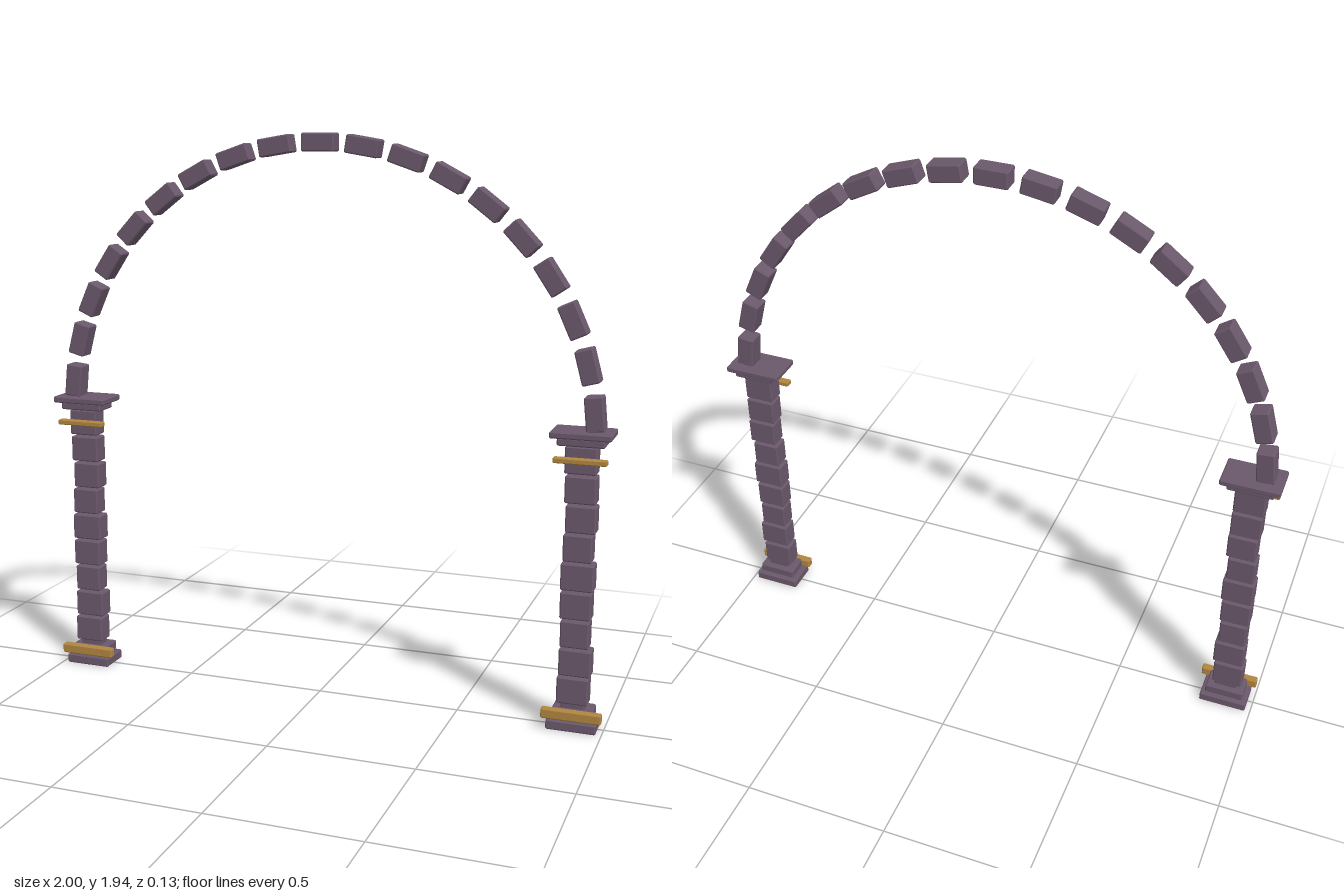
import * as THREE from 'three';
import { ConvexGeometry } from 'three/addons/geometries/ConvexGeometry.js';

const stone = new THREE.MeshStandardMaterial({ color: 0x6a586b });
stone.name = 'purple stone';
const brass = new THREE.MeshStandardMaterial({ color: 0xb0853f });
brass.name = 'brass';

// Box with small flat chamfers on every edge
function chamferBox(w, h, d, c = 0.004) {
  const points = [];
  for (const sx of [-1, 1]) for (const sy of [-1, 1]) for (const sz of [-1, 1]) {
    const [x, y, z] = [w / 2, h / 2, d / 2];
    points.push(
      new THREE.Vector3(sx * x, sy * (y - c), sz * (z - c)),
      new THREE.Vector3(sx * (x - c), sy * y, sz * (z - c)),
      new THREE.Vector3(sx * (x - c), sy * (y - c), sz * z));
  }
  return new ConvexGeometry(points);
}

function addBlock(parent, name, size, position, material = stone, chamfer = 0.004) {
  const mesh = new THREE.Mesh(chamferBox(...size, chamfer), material);
  mesh.name = name;
  mesh.position.set(...position);
  parent.add(mesh);
  return mesh;
}

function createPillar(name, x) {
  const pillar = new THREE.Group();
  pillar.name = name;
  pillar.position.x = x;

  // Stepped base
  addBlock(pillar, 'baseSlab', [0.166, 0.033, 0.112], [0, 0.0165, 0]);
  addBlock(pillar, 'basePlinth', [0.135, 0.034, 0.092], [0, 0.054, 0]);
  addBlock(pillar, 'baseCore', [0.08, 0.06, 0.05], [0, 0.06, 0]);

  // Stacked blocks, slightly uneven from course to course
  const widths = [0.104, 0.106, 0.094, 0.102, 0.108, 0.095, 0.099, 0.102, 0.104];
  const offsets = [-0.003, 0.002, -0.002, -0.002, 0, -0.002, 0.005, 0.001, -0.001];
  widths.forEach((w, i) =>
    addBlock(pillar, 'pillarBlock', [w, 0.09, 0.064], [offsets[i], 0.132 + i * 0.0975, 0]));

  // Stepped capital
  addBlock(pillar, 'capitalNeck', [0.155, 0.026, 0.094], [0, 0.973, 0]);
  addBlock(pillar, 'capitalSlab', [0.2, 0.022, 0.13], [0, 0.997, 0]);

  // Brass bars across the front
  addBlock(pillar, 'lowerBar', [0.2, 0.034, 0.028], [0, 0.055, 0.046], brass);
  addBlock(pillar, 'upperBar', [0.174, 0.018, 0.028], [0, 0.914, 0.044], brass, 0.003);
  return pillar;
}

export function createModel() {
  const model = new THREE.Group();
  model.name = 'archway';
  model.add(createPillar('leftPillar', 0.898), createPillar('rightPillar', -0.898));

  // Separate arch stones spaced around a half circle
  const arch = new THREE.Group();
  arch.name = 'arch';
  const count = 19, radius = 0.939, centreY = 0.97, start = 0.1;
  for (let i = 0; i < count; i++) {
    const a = start + (Math.PI - 2 * start) * i / (count - 1);
    const block = addBlock(arch, 'archStone', [0.06, 0.114, 0.062],
      [radius * Math.cos(a), centreY + radius * Math.sin(a), 0]);
    block.rotation.z = a;
  }
  model.add(arch);
  return model;
}
